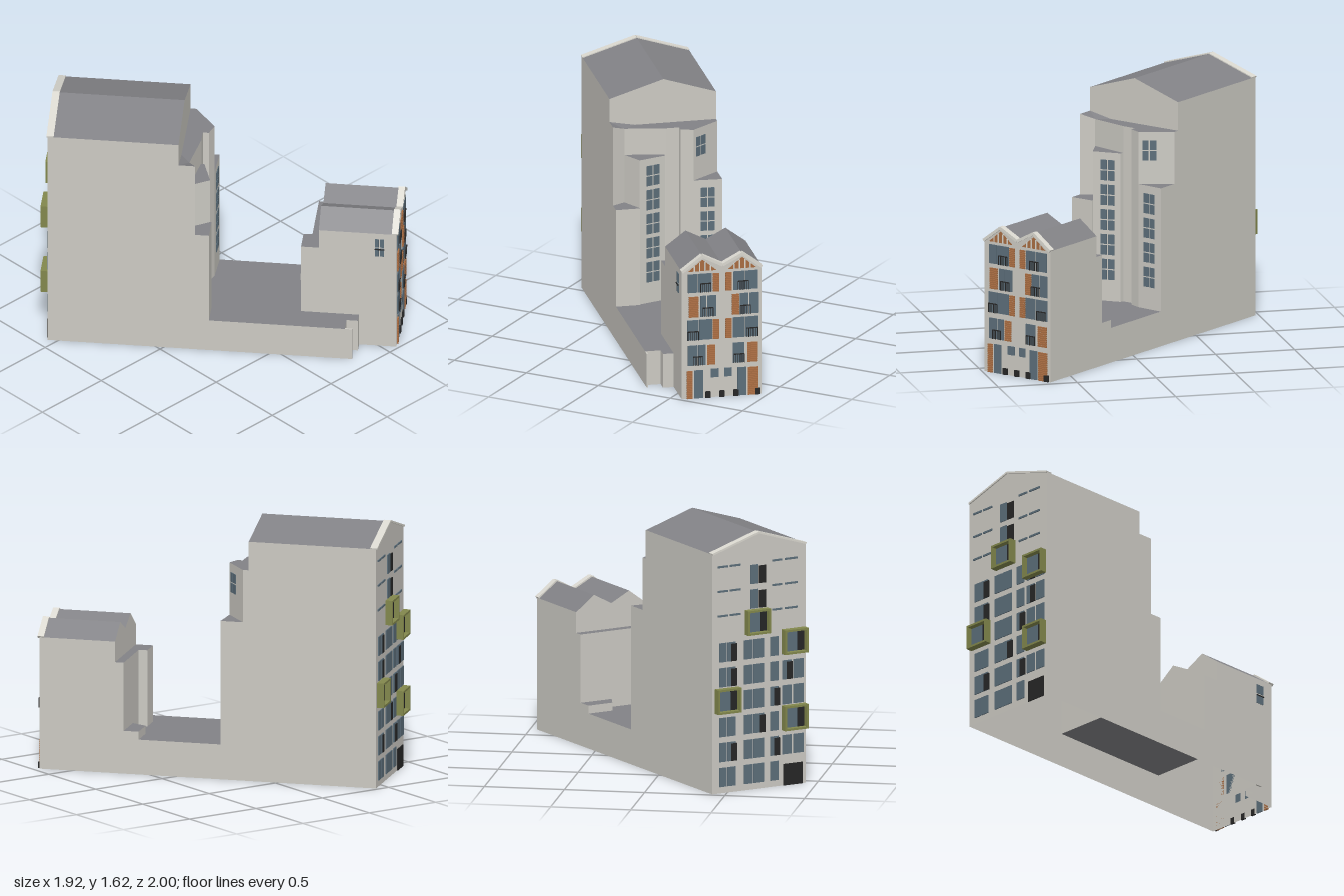
import * as THREE from 'three';

const mat = (name, color) => {
  const m = new THREE.MeshStandardMaterial({ color, side: THREE.DoubleSide, flatShading: true });
  m.name = name;
  return m;
};

export function createModel() {
  const M = {
    wall: mat('pale render', 0xcccac3), trim: mat('light coping', 0xdad8d0), roof: mat('grey roof', 0x828286),
    glass: mat('slate glass', 0x5c6e7a), black: mat('black metal', 0x262626),
    wood: mat('brown timber', 0xa86c42), olive: mat('olive frame', 0x82874c),
  };
  const model = new THREE.Group();
  const site = new THREE.Group();           // whole block stands turned by 40 degrees
  site.name = 'building';
  site.rotation.y = THREE.MathUtils.degToRad(40);
  model.add(site);

  const add = (parent, name, geo, m) => {
    const mesh = new THREE.Mesh(geo, m);
    mesh.name = name;
    parent.add(mesh);
    return mesh;
  };
  // flat convex polygon from [x, y, z] corners
  const fan = (pts) => {
    const out = [];
    for (let i = 1; i < pts.length - 1; i++) out.push(...pts[0], ...pts[i], ...pts[i + 1]);
    const g = new THREE.BufferGeometry();
    g.setAttribute('position', new THREE.Float32BufferAttribute(out, 3));
    g.computeVertexNormals();
    return g;
  };
  const poly = (name, pts, m) => add(site, name, fan(pts), m);
  // upright walls round a plan loop of [x, z, optional top]
  const walls = (name, plan, y0, y1) => {
    const out = [];
    plan.forEach(([ax, az, at = y1], i) => {
      const [bx, bz, bt = y1] = plan[(i + 1) % plan.length];
      out.push(ax, y0, az, bx, y0, bz, bx, bt, bz, ax, y0, az, bx, bt, bz, ax, at, az);
    });
    const g = new THREE.BufferGeometry();
    g.setAttribute('position', new THREE.Float32BufferAttribute(out, 3));
    g.computeVertexNormals();
    add(site, name, g, M.wall);
  };
  const flatRoof = (name, plan, y) => {
    const g = new THREE.ShapeGeometry(new THREE.Shape(plan.map(([x, z]) => new THREE.Vector2(x, -z))));
    g.rotateX(-Math.PI / 2).translate(0, y, 0);
    add(site, name, g, M.roof);
  };
  const block = (name, plan, y0, y1) => {
    walls(name + 'Walls', plan, y0, y1);
    flatRoof(name + 'Roof', plan, y1);
  };
  // group lying on a wall from p to q, left to right seen from outside
  const face = (name, [px, pz], [qx, qz]) => {
    const g = new THREE.Group();
    g.name = name;
    g.position.set(px, 0, pz);
    g.rotation.y = Math.atan2(pz - qz, qx - px);
    site.add(g);
    return g;
  };
  const box = (parent, name, m, x0, x1, y0, y1, z0 = 0, z1 = 0.006) => {
    const g = new THREE.BoxGeometry(x1 - x0, y1 - y0, z1 - z0);
    g.translate((x0 + x1) / 2, (y0 + y1) / 2, (z0 + z1) / 2);
    return add(parent, name, g, m);
  };
  // sloping coping between two points
  const slopeBar = (name, [x0, y0], [x1, y1], z, depth, h) => {
    const b = add(site, name, new THREE.BoxGeometry(Math.hypot(x1 - x0, y1 - y0), h, depth), M.trim);
    b.position.set((x0 + x1) / 2, (y0 + y1) / 2, z);
    b.rotation.z = Math.atan2(y1 - y0, x1 - x0);
  };
  const W = -0.36, E = 0.31, B = -1.02, S = -0.21, F = 1.12, T = -0.195, P = 0.22;

  // ground storey, open underneath
  walls('groundWalls', [[E, B], [W, B], [W, 0.82], [-0.262, 0.82], [-0.262, 0.89], [T, 0.89], [T, F], [E, F]], 0, P);
  flatRoof('podiumRoof', [[W, S], [W, 0.82], [-0.262, 0.82], [-0.262, 0.89], [T, 0.89], [T, 0.64], [E, 0.64], [E, S]], P);
  box(site, 'podiumWallEnd', M.wall, W, W + 0.01, 0, P, 0.82, 0.865);

  // tall gabled tower
  const eave = 1.51, top = 1.615, mid = -0.02;
  walls('towerWalls', [[W, B], [W, S], [E, S], [E, B]], P, eave);
  for (const z of [B, S]) poly('towerGable', [[W, eave, z], [E, eave, z], [mid, top, z]], M.wall);
  for (const x of [W, E]) {
    poly('towerRoof', [[x, eave, B], [x, eave, S], [mid, top, S], [mid, top, B]], M.roof);
    slopeBar('towerCoping', [x, eave], [mid, top], B + 0.015, 0.045, 0.012);
  }

  // stepped wings in front of the tower
  const tierPlan = [[W, S, 1.36], [W, -0.107, 1.36], [-0.279, -0.152], [-0.028, -0.106], [0.055, -0.106],
    [0.058, -0.069], [0.131, -0.041], [E, -0.173], [E, S]];
  walls('upperTierWalls', tierPlan, P, 1.33);
  flatRoof('upperTierRoof', [[-0.2, S], ...tierPlan.slice(2)], 1.33);
  poly('upperTierRoofSlope', [[W, 1.36, S], [W, 1.36, -0.107], [-0.279, 1.33, -0.152], [-0.2, 1.33, S]], M.roof);
  block('eastWing', [[0.131, S], [0.131, -0.041], [E, -0.03], [E, S]], P, 1.0);
  block('stairWing', [[-0.279, S], [-0.279, -0.152], [-0.209, -0.031], [-0.037, -0.086], [-0.028, S]], P, 1.16);
  block('westWing', [[W, S], [W, -0.022], [-0.209, -0.022], [-0.209, S]], P, 0.85);

  // two-by-two paned windows on the wings
  const panes = (f, x0, x1, y0, y1) => {
    const w = (x1 - x0 - 0.008) / 2, h = (y1 - y0 - 0.008) / 2;
    for (const x of [x0, x1 - w]) for (const y of [y0, y1 - h]) box(f, 'windowPane', M.glass, x, x + w, y, y + h, 0, 0.004);
  };
  const stair = face('stairWindows', [-0.209, -0.031], [-0.037, -0.086]);
  const east = face('eastWingWindows', [0.131, -0.041], [E, -0.03]);
  for (let k = 0; k < 5; k++) {
    panes(stair, 0.05, 0.14, 0.355 + k * 0.157, 0.485 + k * 0.157);
    if (k < 4) panes(east, 0.045, 0.13, 0.36 + k * 0.155, 0.485 + k * 0.155);
  }
  panes(face('upperWindows', [0.131, -0.041], [E, -0.173]), 0.025, 0.11, 1.15, 1.275);

  // rear steps of the front house
  block('rearStep', [[T, 0.64], [T, 0.53], [-0.055, 0.53], [-0.053, 0.585], [E, 0.585], [E, 0.64]], P, 0.7);
  block('rearLowStep', [[0.09, 0.585], [0.14, 0.49], [E, 0.49], [E, 0.585]], P, 0.27);

  // front house with a double gable
  const Z0 = 0.64, low = 0.83, high = 0.925;
  const zig = [[T, low], [-0.067, high], [0.06, 0.86], [0.183, high], [E, low]];
  walls('frontHouseWalls', [[T, Z0], [T, F], [E, F], [E, Z0]], P, low);
  for (let i = 0; i < 4; i++) {
    const [a, b] = [zig[i], zig[i + 1]];
    poly('frontHouseRoof', [[...a, Z0], [...a, F], [...b, F], [...b, Z0]], M.roof);
    for (const z of [Z0, F]) poly('frontHouseGable', [[a[0], low, z], [b[0], low, z], [...b, z], [...a, z]], M.wall);
    slopeBar('gableCoping', a, b, F - 0.008, 0.04, 0.018);
  }

  // street front: X positions are measured along the turned front
  const front = face('frontFacade', [0, F], [1, F]);
  const L = (X) => (X - 0.72) / 0.766;
  const pane = (x0, x1, y0, y1, m = M.glass, name = 'frontWindow') => box(front, name, m, L(x0), L(x1), y0, y1);
  const shutter = (x0, x1, y0, y1) => {
    const n = Math.round((y1 - y0) / 0.0125), h = (y1 - y0) / n;
    for (let i = 0; i < n; i++) box(front, 'shutterSlat', M.wood, L(x0), L(x1), y0 + i * h, y0 + i * h + h * 0.78, 0, 0.009);
  };
  const railing = (x0, x1, y0) => {
    box(front, 'railingTop', M.black, L(x0), L(x1), y0 + 0.055, y0 + 0.06, 0.008, 0.016);
    for (let i = 0; i <= 5; i++) {
      const x = L(x0) + (L(x1) - L(x0)) * i / 5;
      box(front, 'railingBar', M.black, x - 0.0015, x + 0.0015, y0, y0 + 0.058, 0.008, 0.014);
    }
  };
  // each row: base, top, window spans, shutter spans, railing spans
  [
    [0.69, 0.81, [[0.6, 0.643], [0.648, 0.714], [0.818, 0.87], [0.875, 0.935]], [[0.72, 0.75], [0.78, 0.81]], [[0.66, 0.71], [0.84, 0.89]]],
    [0.53, 0.665, [[0.66, 0.688], [0.692, 0.735], [0.85, 0.89], [0.895, 0.94]], [[0.605, 0.65], [0.812, 0.845]], [[0.67, 0.72], [0.85, 0.9]]],
    [0.38, 0.51, [[0.597, 0.65], [0.655, 0.715], [0.815, 0.87], [0.875, 0.938]], [[0.72, 0.75], [0.78, 0.81]], [[0.6, 0.65], [0.88, 0.935]]],
    [0.215, 0.345, [[0.6, 0.645], [0.65, 0.685], [0.815, 0.87]], [[0.692, 0.73], [0.885, 0.935]], [[0.625, 0.67], [0.82, 0.87]]],
    [0, 0.182, [[0.63, 0.672], [0.838, 0.88]], [[0.595, 0.622], [0.888, 0.938]], []],
  ].forEach(([y0, y1, wins, shuts, rails]) => {
    wins.forEach(([a, b]) => pane(a, b, y0, y1));
    shuts.forEach(([a, b]) => shutter(a, b, y0, y1));
    rails.forEach(([a, b]) => railing(a, b, y0));
  });
  pane(0.71, 0.748, 0.13, 0.185);
  pane(0.775, 0.81, 0.13, 0.185);
  for (const X of [0.695, 0.762, 0.83, 0.935]) box(front, 'planter', M.black, L(X) - 0.016, L(X) + 0.016, 0, 0.04, 0, 0.012);
  // timber infill of the gables with pale posts
  for (const c of [-0.067, 0.183]) {
    poly('gableTimber', [[c - 0.09, 0.828, F + 0.004], [c + 0.09, 0.828, F + 0.004], [c, 0.902, F + 0.004]], M.wood);
    for (const d of [-0.05, -0.017, 0.017, 0.05]) {
      box(front, 'gablePost', M.trim, c + d - 0.004, c + d + 0.004, 0.828, 0.9 - Math.abs(d) * 0.8, 0, 0.008);
    }
  }
  // side window of the front house
  const side = face('sideWindow', [T, Z0], [T, F]);
  panes(side, 0.348, 0.403, 0.665, 0.79);
  box(side, 'sideRail', M.black, 0.345, 0.406, 0.715, 0.72, 0.004, 0.01);

  // rear facade: window grid with dark openings
  const rear = face('rearFacade', [E, B], [W, B]);
  const cols = [[0.05, 0.1], [0.108, 0.165], [0.225, 0.285], [0.292, 0.37], [0.415, 0.475], [0.5, 0.565], [0.58, 0.65]];
  const dark = [[5], [1, 4], [3, 5], [0, 4], [1, 5], [1, 5]];
  for (let k = 0; k < 6; k++) {
    const y = 0.04 + k * 0.157;
    cols.forEach(([a, b], i) => {
      if (k === 0 && i > 4) return;
      box(rear, 'rearWindow', M.glass, a, b, y, y + 0.12);
      if (dark[k].includes(i)) box(rear, 'darkOpening', M.black, b - 0.035, b + 0.008, y, y + 0.11, 0, 0.008);
    });
  }
  box(rear, 'garageDoor', M.black, 0.51, 0.645, 0, 0.135);
  for (const y of [0.985, 1.14, 1.295]) {
    box(rear, 'rearUpperWindow', M.glass, 0.27, 0.325, y, y + 0.12);
    box(rear, 'rearUpperDoor', M.black, 0.33, 0.385, y, y + 0.11);
    for (const [a, b] of [[0.04, 0.11], [0.125, 0.2], [0.43, 0.5], [0.52, 0.61]]) {
      box(rear, 'slitWindow', M.glass, a, b, y + 0.125, y + 0.137);
    }
  }
  // projecting olive box balconies
  for (const [c, y] of [[0.102, 0.505], [0.314, 0.98], [0.58, 0.83], [0.58, 0.35]]) {
    const a = c - 0.083, b = c + 0.083, t = 0.013, d = 0.045;
    for (const yy of [y, y + 0.155 - t]) box(rear, 'balconyFrame', M.olive, a, b, yy, yy + t, 0, d);
    for (const xx of [a, b - t]) box(rear, 'balconyFrame', M.olive, xx, xx + t, y, y + 0.155, 0, d);
    box(rear, 'balconyGlass', M.glass, a + t, c + 0.02, y + t, y + 0.142, 0, 0.012);
    box(rear, 'balconyOpening', M.black, c + 0.025, b - t, y + t, y + 0.142, 0, 0.012);
  }
  return model;
}
